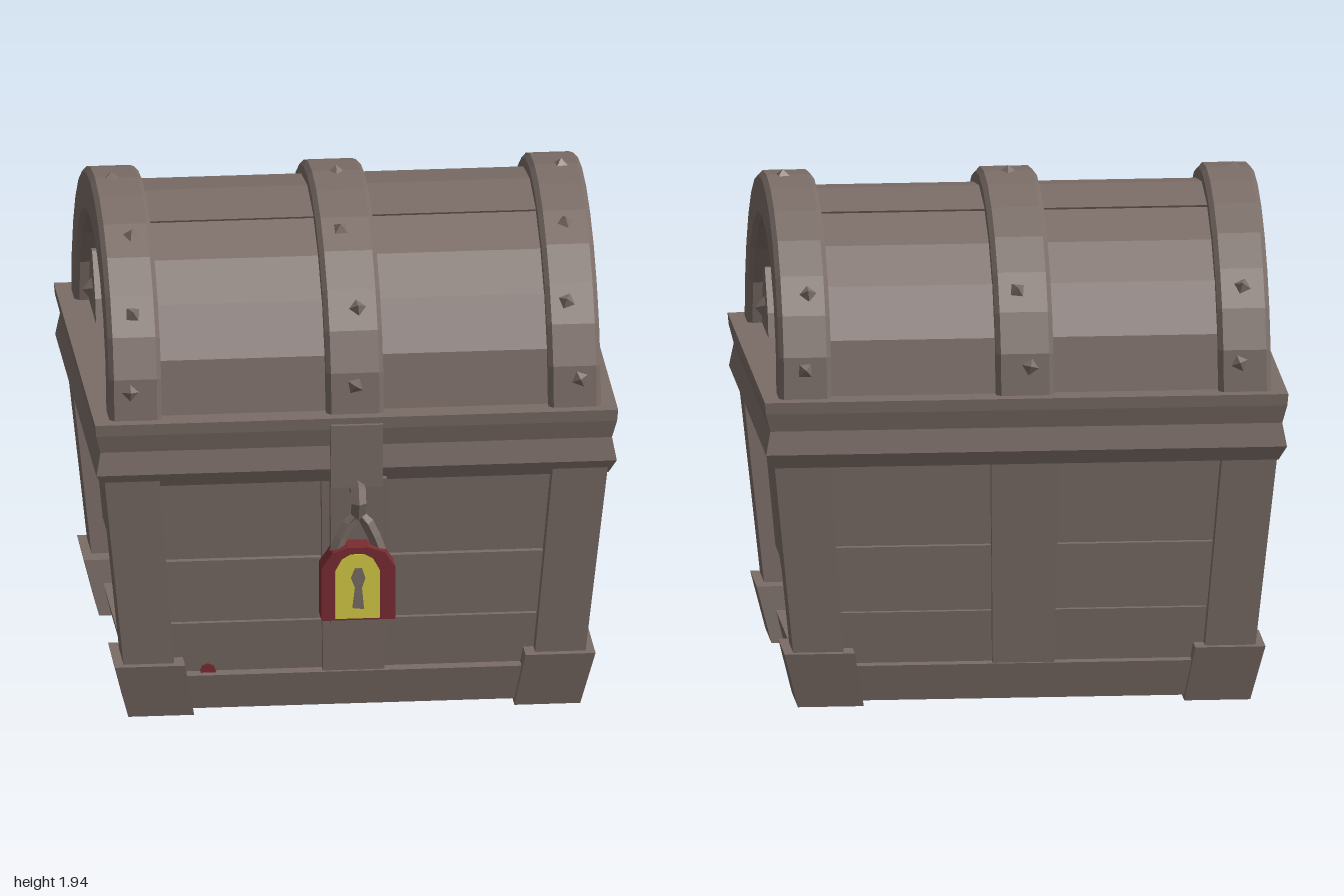
import * as THREE from 'three';

const mat = (name, color) => {
  const m = new THREE.MeshStandardMaterial({ color });
  m.name = name;
  m.flatShading = true;
  return m;
};

export function createModel() {
  const wood = mat('greyBrownWood', 0x7b6d67);
  const red = mat('darkRed', 0x7a2c32);
  const yellow = mat('yellow', 0xd6cc45);
  const root = new THREE.Group();
  root.name = 'treasureChest';
  const ZC = -0.045;

  const add = (name, geo, material = wood, parent = root) => {
    const m = new THREE.Mesh(geo, material);
    m.name = name;
    parent.add(m);
    return m;
  };
  const box = (x0, x1, y0, y1, z0, z1) =>
    new THREE.BoxGeometry(Math.abs(x1 - x0), y1 - y0, Math.abs(z1 - z0))
      .translate((x0 + x1) / 2, (y0 + y1) / 2, (z0 + z1) / 2);
  // Box whose vertices follow the inward taper of the chest body, stronger at the feet
  const tapered = (name, ...b) => {
    const g = box(...b), p = g.attributes.position;
    for (let i = 0; i < p.count; i++) {
      const y = p.getY(i);
      const s = 1 - 0.1 * (0.96 - y) / 0.96 - 0.15 * Math.max(0, 0.22 - y);
      p.setX(i, p.getX(i) * s);
      p.setZ(i, p.getZ(i) * s + ZC);
    }
    return add(name, g);
  };

  // Body core, corner posts and feet
  tapered('bodyCore', -0.87, 0.87, 0.07, 1.0, -0.72, 0.72);
  for (const sx of [-1, 1]) for (const sz of [-1, 1]) {
    tapered('cornerPost', sx * 0.75, sx * 0.96, 0.2, 0.98, sz * 0.605, sz * 0.805);
    tapered('foot', sx * 0.705, sx * 0.995, 0.005, 0.22, sz * 0.52, sz * 0.838);
  }

  // Rails, planks and straps on the long sides
  for (const sz of [-1, 1]) {
    tapered('longRail', -0.73, 0.73, 0.02, 0.16, sz * 0.6, sz * 0.795);
    tapered('bodyStrap', -0.13, 0.13, 0.15, 0.98, sz * 0.7, sz * 0.78);
    for (const sx of [-1, 1])
      for (const [a, b, d] of [[0.14, 0.36, 0.735], [0.37, 0.62, 0.742], [0.63, 0.97, 0.735]])
        tapered('longPlank', sx * 0.1, sx * 0.76, a, b, sz * 0.7, sz * d);
  }

  // Rails and planks on the short sides
  for (const sx of [-1, 1]) {
    tapered('sideRail', sx * 0.7, sx * 0.94, 0.02, 0.13, -0.62, 0.62);
    tapered('sideTopRail', sx * 0.8, sx * 0.925, 0.855, 0.97, -0.615, 0.615);
    for (const [a, b, d] of [[0.12, 0.35, 0.885], [0.36, 0.86, 0.895]])
      tapered('sidePlank', sx * 0.8, sx * d, a, b, -0.615, 0.615);
  }

  // Underside beam and boards
  tapered('bottomBeam', -0.13, 0.13, 0.025, 0.08, -0.74, 0.74);
  for (const sx of [-1, 1]) for (let i = 0; i < 4; i++)
    tapered('bottomBoard', sx * 0.13, sx * 0.8, 0.045 + (i % 2) * 0.015, 0.08,
      -0.6 + i * 0.305, -0.31 + i * 0.305);

  // Grooved rim: a four-sided lathe stretched to the footprint
  const rim = [[0, 0.955], [0.965, 0.955], [0.995, 1.01], [0.978, 1.1], [0.996, 1.17], [1, 1.215], [0, 1.22]]
    .map(([r, y]) => new THREE.Vector2(r * Math.SQRT2, y));
  add('rim', new THREE.LatheGeometry(rim, 4, Math.PI / 4).scale(1, 1, 0.835).translate(0, 0, -0.055));

  // Half-ellipse points for the lid, standing on the rim
  const LZ = -0.05, LY = 1.215;
  const arc = (rz, h, n) => Array.from({ length: n + 1 }, (_, i) => {
    const t = Math.PI * i / n;
    return new THREE.Vector2(Math.cos(t) * rz, Math.sin(t) * h);
  });
  const alongX = (pts, x0, x1, bevel = 0) =>
    new THREE.ExtrudeGeometry(new THREE.Shape(pts), {
      depth: x1 - x0 - 2 * bevel, bevelEnabled: bevel > 0, bevelSize: bevel,
      bevelThickness: bevel, bevelSegments: 1,
    }).rotateY(Math.PI / 2).translate(x0 + bevel, LY, LZ);

  // Barrel lid with slightly stepped planks
  const seams = [0, 37, 70, 110, 143, 180];
  const barrel = [];
  for (let i = 0; i < 5; i++) for (let j = 0; j <= 2; j++) {
    const t = THREE.MathUtils.degToRad(seams[i] + (seams[i + 1] - seams[i]) * j / 2);
    const k = i % 2 ? 0.988 : 1;
    barrel.push(new THREE.Vector2(Math.cos(t) * 0.735 * k, Math.sin(t) * 0.655 * k));
  }
  add('lidBarrel', alongX(barrel, -0.855, 0.855));

  // Lid bands: open arches at both ends, a solid one in the middle
  const B = 0.018;
  const outer = arc(0.785 - B, 0.71 - B, 14);
  const ring = [...outer, ...arc(0.63 + B, 0.535 + B, 10).reverse()];
  add('endBand', alongX(ring, 0.74, 0.94, B));
  add('endBand', alongX(ring, -0.94, -0.74, B));
  add('middleBand', alongX(outer, -0.11, 0.11, B));

  // Pyramid studs along the bands
  const stud = (pos, normal, turn) => {
    const g = new THREE.ConeGeometry(0.055, 0.045, 4).rotateY(turn);
    const m = add('stud', g);
    m.position.copy(pos);
    m.quaternion.setFromUnitVectors(new THREE.Vector3(0, 1, 0), normal.normalize());
  };
  [-0.84, 0, 0.84].forEach((x, b) => [9, 33, 60, 90, 147, 171].forEach((deg, i) => {
    const t = deg * Math.PI / 180, c = Math.cos(t), s = Math.sin(t);
    stud(new THREE.Vector3(x + ((i + b) % 3 - 1) * 0.02, LY + s * 0.71, LZ + c * 0.785),
      new THREE.Vector3(0, s / 0.71, c / 0.785), i * 0.7 + b);
  }));

  // Corner gussets on the lid ends
  for (const sx of [-1, 1]) for (const sz of [-1, 1]) {
    const pts = [[0.35, 0], [0.38, 0.09], [0.51, 0.24], [0.58, 0.23], [0.65, 0]]
      .map(([z, y]) => new THREE.Vector2(-sz * z, y));
    add('lidGusset', alongX(pts, sx > 0 ? 0.84 : -0.885, sx > 0 ? 0.885 : -0.84));
    stud(new THREE.Vector3(sx * 0.9, 1.3, LZ + sz * 0.51), new THREE.Vector3(sx, 0, 0), 0.4);
  }

  // Hasp hanging over the rim
  add('haspTop', box(-0.1, 0.1, 0.94, 1.19, 0.7, 0.795));
  tapered('haspPlate', -0.1, 0.115, 0.37, 0.97, 0.75, 0.83);
  add('staple', new THREE.TorusGeometry(0.05, 0.022, 4, 6).rotateY(Math.PI / 2)
    .scale(1.3, 1.15, 1).translate(0, 0.9, 0.82));

  // Padlock with shackle, face plate and keyhole
  const lock = new THREE.Group();
  lock.name = 'padlock';
  root.add(lock);
  const path = new THREE.CatmullRomCurve3([[-0.085, 0.69], [-0.05, 0.78], [0, 0.85], [0.05, 0.78], [0.085, 0.69]]
    .map(([x, y]) => new THREE.Vector3(x, y, 0.81)));
  add('shackle', new THREE.TubeGeometry(path, 6, 0.026, 5), wood, lock);
  const plate = (name, pts, z, depth, m) => add(name,
    new THREE.ExtrudeGeometry(new THREE.Shape(pts.map(p => new THREE.Vector2(...p))),
      { depth, bevelEnabled: false }).translate(0, 0, z), m, lock);
  plate('lockBody', [[-0.142, 0.43], [0.14, 0.43], [0.14, 0.64], [0.1, 0.7], [0.04, 0.72],
    [-0.04, 0.72], [-0.1, 0.7], [-0.142, 0.64]], 0.765, 0.098, red);
  plate('lockFace', [[-0.09, 0.437], [0.08, 0.437], [0.08, 0.63], [0.055, 0.675], [0.02, 0.695],
    [-0.03, 0.695], [-0.065, 0.675], [-0.09, 0.63]], 0.863, 0.003, yellow);
  plate('keyhole', [[-0.025, 0.48], [0.02, 0.475], [0.012, 0.56], [0.025, 0.6], [0.012, 0.64],
    [-0.015, 0.64], [-0.03, 0.6], [-0.015, 0.56]], 0.866, 0.003, wood);

  // Small red spot above the front rail
  add('redSpot', new THREE.CylinderGeometry(0.03, 0.03, 0.008, 8).rotateX(Math.PI / 2)
    .translate(-0.555, 0.166, 0.64), red);

  return root;
}
